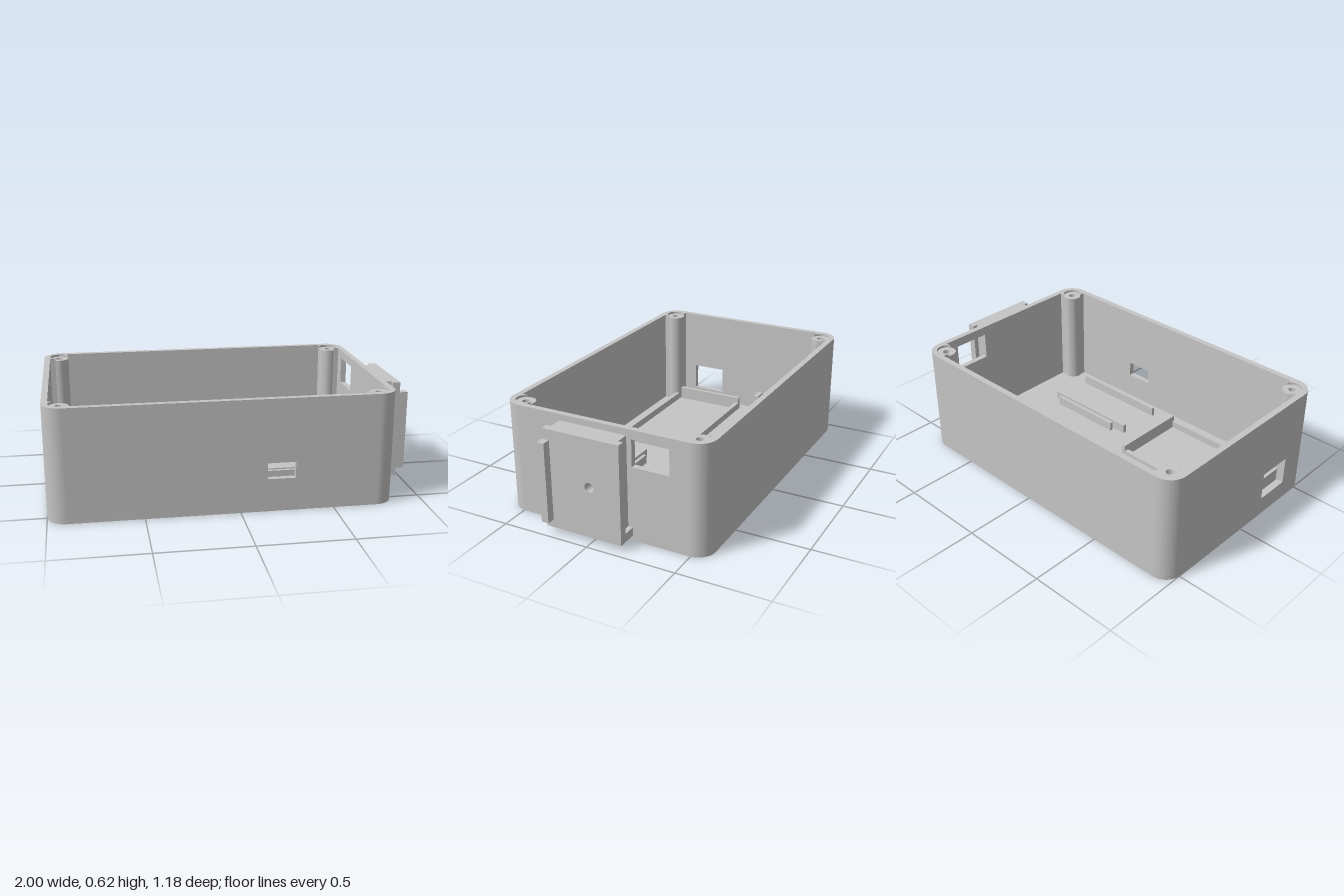
import * as THREE from 'three';
import { toCreasedNormals } from 'three/addons/utils/BufferGeometryUtils.js';

// Outer limits of the case, wall thickness, corner radius
const X0 = -1, X1 = 0.837, Z = 0.592, H = 0.615, T = 0.033, R = 0.1;

function rectPath(a0, a1, b0, b1, Type = THREE.Path) {
  return new Type([[a0, b0], [a1, b0], [a1, b1], [a0, b1]].map(p => new THREE.Vector2(...p)));
}

function circlePath(a, b, r) {
  const p = new THREE.Path();
  p.absarc(a, b, r, 0, Math.PI * 2, true);
  return p;
}

function rect(a0, a1, b0, b1, holes = []) {
  const s = rectPath(a0, a1, b0, b1, THREE.Shape);
  s.holes.push(...holes);
  return s;
}

function extrude(shape, depth) {
  const g = new THREE.ExtrudeGeometry(shape, { depth, bevelEnabled: false, curveSegments: 20 });
  return toCreasedNormals(g, 0.5);
}

// Shape in (z, y), extruded from x0 to x1
const alongX = (shape, x0, x1) => extrude(shape, x1 - x0).rotateY(-Math.PI / 2).translate(x1, 0, 0);
// Shape in (x, z), extruded from y0 to y1
const alongY = (shape, y0, y1) => extrude(shape, y1 - y0).rotateX(Math.PI / 2).translate(0, y1, 0);
// Shape in (x, y), extruded from z0 to z1
const alongZ = (shape, z0, z1) => extrude(shape, z1 - z0).translate(0, 0, z0);

export function createModel() {
  const model = new THREE.Group();
  model.name = 'enclosure';
  const grey = new THREE.MeshStandardMaterial({ color: 0xc5c5c5 });
  grey.name = 'light grey plastic';

  const add = (name, geometry, parent = model) => {
    const m = new THREE.Mesh(geometry, grey);
    m.name = name;
    parent.add(m);
  };
  const box = (name, x0, x1, y0, y1, z0, z1, parent) =>
    add(name, new THREE.BoxGeometry(x1 - x0, y1 - y0, z1 - z0)
      .translate((x0 + x1) / 2, (y0 + y1) / 2, (z0 + z1) / 2), parent);

  // Floor with rounded corners
  const base = new THREE.Shape();
  base.absarc(X1 - R, Z - R, R, 0, Math.PI / 2);
  base.absarc(X0 + R, Z - R, R, Math.PI / 2, Math.PI);
  base.absarc(X0 + R, -Z + R, R, Math.PI, Math.PI * 1.5);
  base.absarc(X1 - R, -Z + R, R, Math.PI * 1.5, Math.PI * 2);
  add('floor', alongY(base, 0, T));

  // Straight walls with their openings
  add('frontWall', alongZ(rect(X0 + R, X1 - R, T, H, [rectPath(0.141, 0.291, 0.18, 0.268)]), Z - T, Z));
  add('backWall', alongZ(rect(X0 + R, X1 - R, T, H), -Z, -Z + T));
  add('leftWall', alongX(rect(-Z + R, Z - R, T, H, [rectPath(-0.385, -0.177, 0.415, 0.565)]), X1 - T, X1));
  add('rightWall', alongX(rect(-Z + R, Z - R, T, H, [rectPath(0.18, 0.38, 0.1, 0.258)]), X0, X0 + T));

  // Corner outline, measured inwards from the two outer faces: round outside, socket for the post inside
  const P = 0.087, PR = 0.0528, W = 0.134, V = 0.063;
  const socket = Math.atan2(W - P, V - P);
  const outline = new THREE.Shape();
  outline.absarc(R, R, R, Math.PI, Math.PI * 1.5);
  outline.lineTo(R, T);
  outline.lineTo(W, T);
  outline.absarc(P, P, PR, Math.PI * 2.5 - socket, socket, true);
  outline.lineTo(T, W);
  outline.lineTo(T, R);
  const outlinePoints = outline.getPoints(20);

  // Four corners, each with a screw post
  for (const sx of [-1, 1]) for (const sz of [-1, 1]) {
    const corner = new THREE.Group();
    corner.name = 'corner';
    model.add(corner);
    const ex = sx < 0 ? X0 : X1, ez = sz * Z;
    const shape = new THREE.Shape(outlinePoints.map(p => new THREE.Vector2(ex - sx * p.x, ez - sz * p.y)));
    add('cornerWall', alongY(shape, T, H), corner);

    const px = ex - sx * P, pz = ez - sz * P;
    const ring = new THREE.Shape();
    ring.absarc(px, pz, PR, 0, Math.PI * 2);
    ring.holes.push(circlePath(px, pz, 0.02));
    add('screwPost', alongY(ring, T, 0.602), corner);
  }

  // Half-round cradles
  for (const x of [-0.823, -0.069]) {
    const s = new THREE.Shape();
    s.moveTo(-0.492, T);
    s.lineTo(-0.14, T);
    s.lineTo(-0.14, 0.21);
    s.lineTo(-0.171, 0.21);
    s.absarc(-0.316, 0.21, 0.145, 0, Math.PI, true);
    s.lineTo(-0.492, 0.21);
    s.closePath();
    add('cradle', alongX(s, x, x + 0.074));
  }

  // Low frame for a small board
  const frame = new THREE.Group();
  frame.name = 'boardFrame';
  model.add(frame);
  box('frameBack', -0.89, -0.152, T, 0.075, 0.027, 0.053, frame);
  box('frameFront', -0.87, -0.152, T, 0.075, 0.458, 0.484, frame);
  box('frameSide', -0.914, -0.89, T, 0.11, 0.027, 0.45, frame);
  box('frameSide', -0.152, -0.128, T, 0.11, 0.027, 0.47, frame);

  // Pairs of floor rails: x start, x end, z of each rail
  for (const [x0, x1, ...zs] of [
    [0.216, 0.671, -0.392, -0.119],
    [0.097, 0.538, -0.089, 0.178],
    [0.021, 0.599, 0.215, 0.476],
  ]) for (const z of zs) box('floorRail', x0, x1, T, 0.085, z - 0.01, z + 0.01);

  // Mounting bracket on the end wall: narrow neck, wide plate, bottom stop, side lip
  const bracket = new THREE.Group();
  bracket.name = 'mountBracket';
  model.add(bracket);
  const hole = () => [circlePath(0, 0.313, 0.026)];
  add('neck', alongX(rect(-0.149, 0.238, 0.078, 0.58, hole()), X1, 0.911), bracket);
  add('plate', alongX(rect(-0.176, 0.265, 0.031, 0.58, hole()), 0.911, 0.954), bracket);
  box('bottomStop', X1, 0.911, 0.031, 0.078, -0.176, 0.265, bracket);
  box('sideLip', 0.954, 1, 0.076, 0.522, 0.224, 0.265, bracket);

  return model;
}
